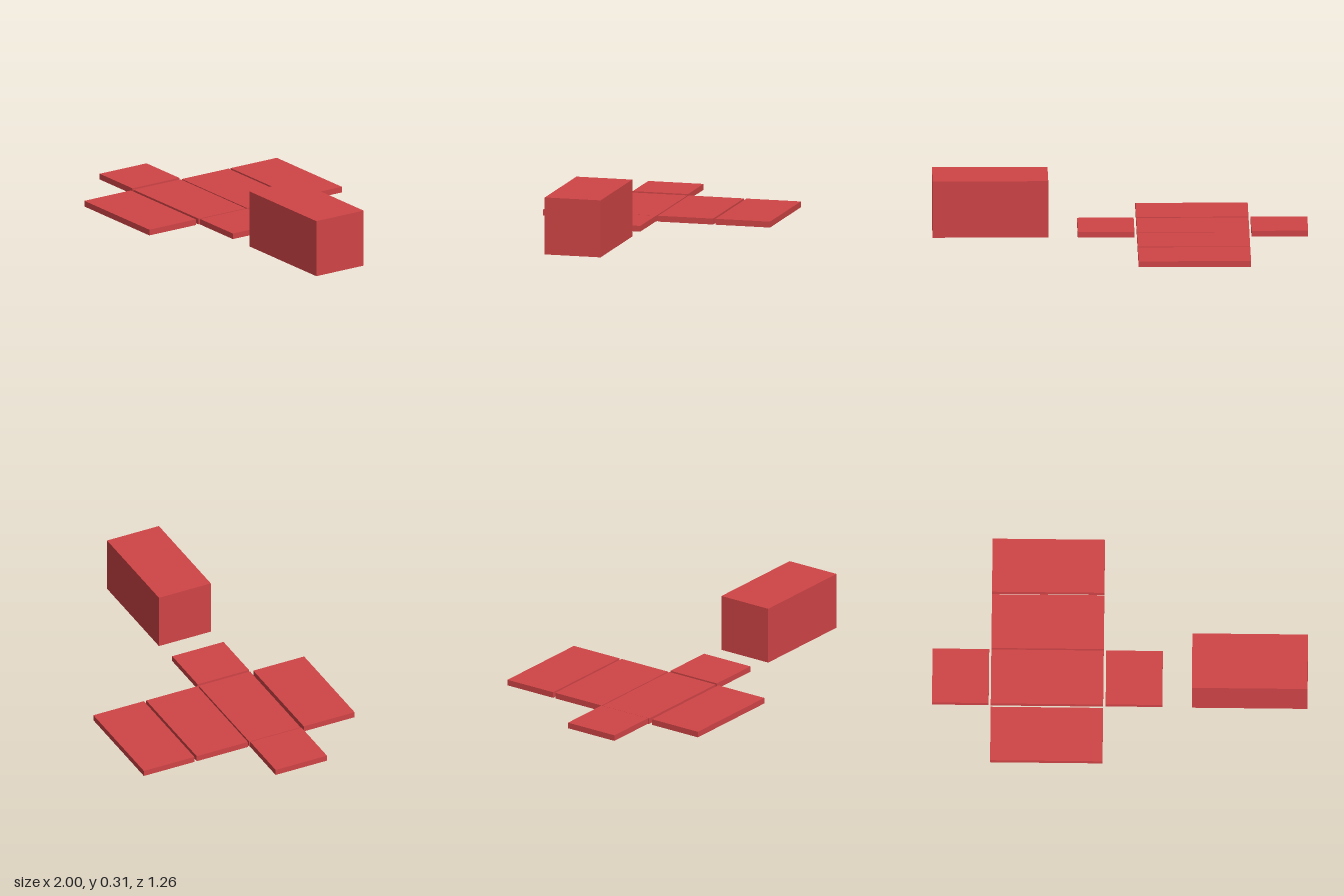
import * as THREE from 'three';

export function createModel() {
  const group = new THREE.Group();
  const material = new THREE.MeshStandardMaterial({ color: 0xd04446 });

  // Block given by its extents along x, y and z
  const block = (name, [x0, x1], [y0, y1], [z0, z1]) => {
    const mesh = new THREE.Mesh(new THREE.BoxGeometry(x1 - x0, y1 - y0, z1 - z0), material);
    mesh.position.set((x0 + x1) / 2, (y0 + y1) / 2, (z0 + z1) / 2);
    mesh.name = name;
    group.add(mesh);
  };

  // Column of four long panels of the unfolded box
  const column = [-0.687, -0.088];
  const flat = [0, 0.032];
  block('farPanel', column, flat, [-0.628, -0.327]);
  block('backPanel', column, flat, [-0.313, -0.008]);
  block('centrePanel', column, flat, [0, 0.306]);
  block('frontPanel', column, flat, [0.325, 0.628]);

  // Square end panels
  block('rightEndPanel', [-1, -0.698], [0.005, 0.037], [0, 0.306]);
  block('leftEndPanel', [-0.075, 0.227], [0.003, 0.034], [0, 0.306]);

  // Closed box beside the net
  block('closedBox', [0.384, 1], [0.005, 0.314], [0, 0.309]);

  return group;
}
